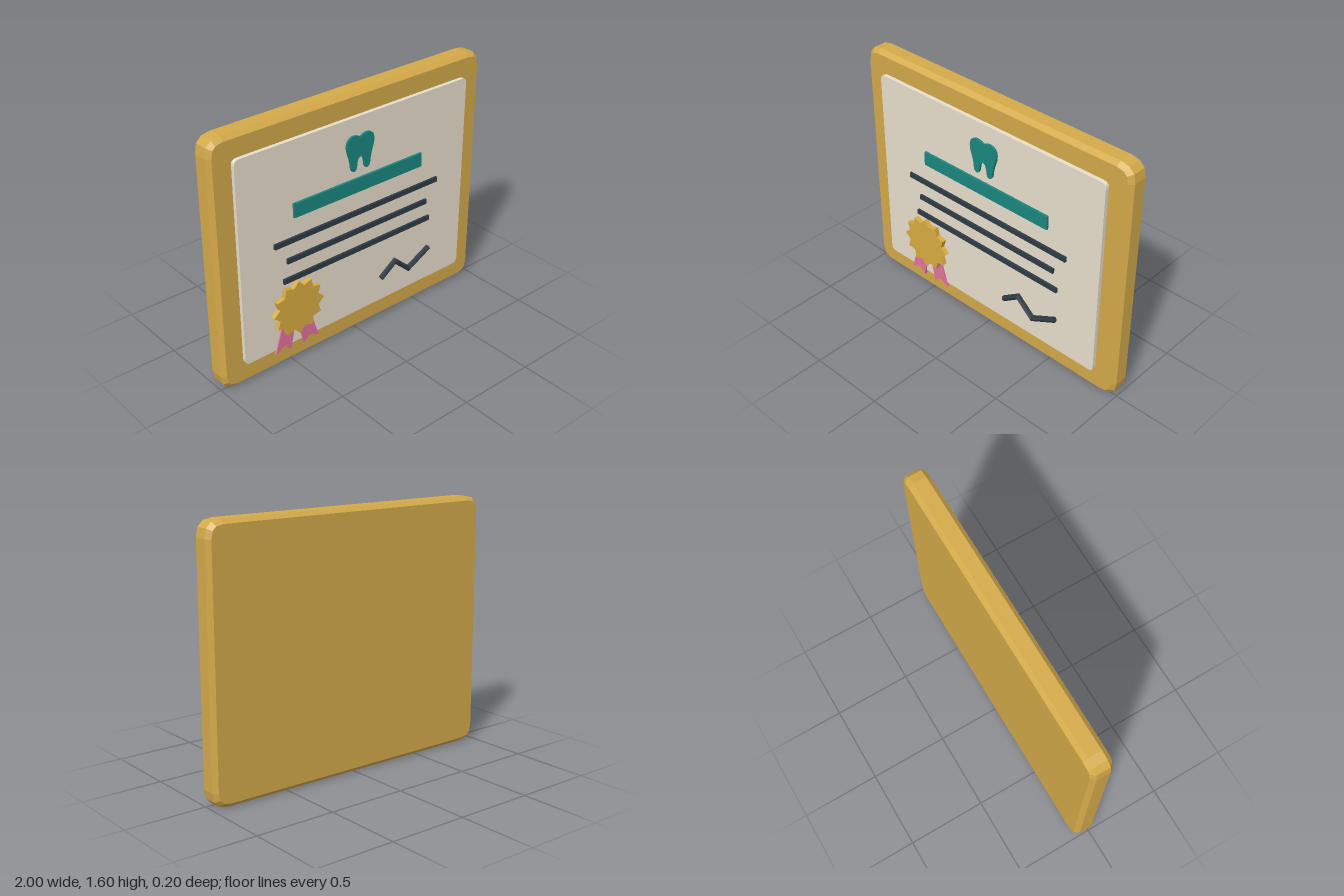
import * as THREE from 'three';

const mat = (color) => new THREE.MeshStandardMaterial({ color, flatShading: true });
const GOLD = mat(0xd4aa4a), SEAL = mat(0xdaac42), PAPER = mat(0xe8dfcd);
const TEAL = mat(0x1a877f), INK = mat(0x2f3b45), PINK = mat(0xe5739f);

// Rectangle with rounded corners, centred on (0, cy)
function roundedRect(w, h, r, cy) {
  const x = w / 2, b = cy - h / 2, t = cy + h / 2;
  const s = new THREE.Shape();
  s.moveTo(-x + r, b).lineTo(x - r, b).quadraticCurveTo(x, b, x, b + r);
  s.lineTo(x, t - r).quadraticCurveTo(x, t, x - r, t);
  s.lineTo(-x + r, t).quadraticCurveTo(-x, t, -x, t - r);
  s.lineTo(-x, b + r).quadraticCurveTo(-x, b, -x + r, b);
  return s;
}

const polygon = (pts) => new THREE.Shape(pts.map(([x, y]) => new THREE.Vector2(x, y)));

// Flat plate cut from a shape, between depths z0 and z1
function plate(name, shape, z0, z1, material, bevel = 0, curveSegments = 4) {
  const geo = new THREE.ExtrudeGeometry(shape, {
    depth: z1 - z0 - 2 * bevel, curveSegments, bevelEnabled: bevel > 0,
    bevelThickness: bevel, bevelSize: bevel, bevelOffset: -bevel, bevelSegments: 1,
  });
  geo.translate(0, 0, z0 + bevel);
  const mesh = new THREE.Mesh(geo, material);
  mesh.name = name;
  return mesh;
}

// Two-rooted tooth outline, symmetric about x = 0
function toothShape() {
  const s = new THREE.Shape();
  s.moveTo(0, 1.338);
  s.bezierCurveTo(0.035, 1.362, 0.102, 1.365, 0.102, 1.3);
  s.bezierCurveTo(0.102, 1.25, 0.078, 1.235, 0.072, 1.16);
  s.bezierCurveTo(0.068, 1.122, 0.033, 1.122, 0.03, 1.15);
  s.bezierCurveTo(0.024, 1.19, 0.022, 1.215, 0, 1.215);
  s.bezierCurveTo(-0.022, 1.215, -0.024, 1.19, -0.03, 1.15);
  s.bezierCurveTo(-0.033, 1.122, -0.068, 1.122, -0.072, 1.16);
  s.bezierCurveTo(-0.078, 1.235, -0.102, 1.25, -0.102, 1.3);
  s.bezierCurveTo(-0.102, 1.365, -0.035, 1.362, 0, 1.338);
  return s;
}

// Hexagonal rod along a zigzag in the xy plane, with mitred corners
function zigzagRod(path, radius, z) {
  const pts = path.map(([x, y]) => new THREE.Vector2(x, y));
  const N = 6, pos = [], index = [];
  const dir = (i) => pts[i + 1].clone().sub(pts[i]).normalize();
  pts.forEach((p, i) => {
    const a = dir(Math.max(i - 1, 0)), b = dir(Math.min(i, pts.length - 2));
    const t = a.clone().add(b).normalize();
    const miter = 1 / t.dot(a);
    for (let k = 0; k < N; k++) {
      const ang = (k / N) * Math.PI * 2;
      const off = Math.sin(ang) * radius * miter;
      pos.push(p.x - t.y * off, p.y + t.x * off, z + Math.cos(ang) * radius);
    }
  });
  for (let i = 0; i < pts.length - 1; i++) {
    for (let k = 0; k < N; k++) {
      const a = i * N + k, b = i * N + (k + 1) % N;
      index.push(a, a + N, b, b, a + N, b + N);
    }
  }
  const last = (pts.length - 1) * N;
  for (let k = 1; k < N - 1; k++) {
    index.push(0, k, k + 1, last, last + k + 1, last + k);
  }
  const geo = new THREE.BufferGeometry();
  geo.setAttribute('position', new THREE.Float32BufferAttribute(pos, 3));
  geo.setIndex(index);
  const flat = geo.toNonIndexed();
  flat.computeVertexNormals();
  return flat;
}

export function createModel() {
  const model = new THREE.Group();
  model.name = 'framedCertificate';

  // Bevelled frame and raised sheet
  model.add(plate('frame', roundedRect(2, 1.6, 0.1, 0.8), -0.1, 0.037, GOLD, 0.026, 3));
  model.add(plate('paper', roundedRect(1.716, 1.316, 0.034, 0.803), 0.03, 0.062, PAPER));

  // Emblem and title bar
  model.add(plate('toothEmblem', toothShape(), 0.06, 0.077, TEAL, 0, 8));
  model.add(plate('titleBar',
    polygon([[-0.486, 0.988], [0.486, 0.988], [0.486, 1.078], [-0.486, 1.078]]), 0.06, 0.077, TEAL));

  // Text lines: [half width, height]
  const lines = new THREE.Group();
  lines.name = 'textLines';
  for (const [w, y] of [[0.627, 0.851], [0.542, 0.724], [0.572, 0.598]]) {
    lines.add(plate('textLine',
      polygon([[-w, y - 0.016], [w, y - 0.016], [w, y + 0.016], [-w, y + 0.016]]), 0.06, 0.077, INK));
  }
  model.add(lines);

  // Award seal: two notched ribbons behind a twelve-pointed rosette
  const seal = new THREE.Group();
  seal.name = 'awardSeal';
  const ribbon = [[-0.16, -0.283], [-0.091, -0.248], [-0.048, -0.294], [0.01, 0], [-0.075, 0]];
  for (const side of [1, -1]) {
    const pts = ribbon.map(([x, y]) => [x * side, y]);
    seal.add(plate(side > 0 ? 'rightRibbon' : 'leftRibbon', polygon(pts), 0.055, 0.071, PINK));
  }
  const star = [];
  for (let i = 0; i < 24; i++) {
    const r = i % 2 ? 0.145 : 0.182, a = (i / 24) * Math.PI * 2;
    star.push([Math.cos(a) * r, Math.sin(a) * r]);
  }
  seal.add(plate('rosette', polygon(star), 0.07, 0.1, SEAL));
  seal.position.set(-0.487, 0.402, 0);
  model.add(seal);

  // Signature stroke
  const signature = new THREE.Mesh(
    zigzagRod([[0.17, 0.313], [0.285, 0.394], [0.4, 0.292], [0.573, 0.382]], 0.018, 0.076), INK);
  signature.name = 'signature';
  model.add(signature);

  return model;
}
